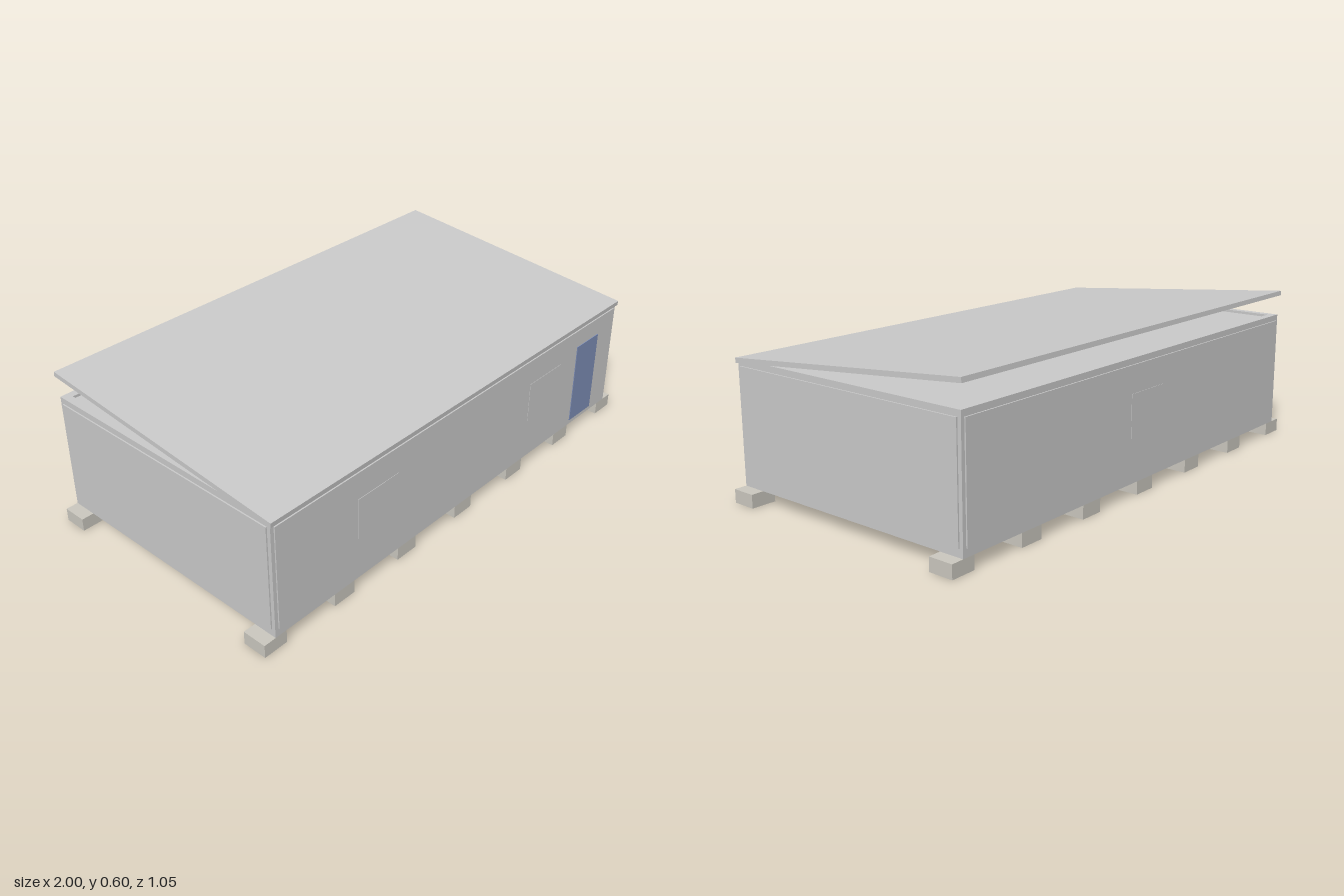
import * as THREE from 'three';

const grey = new THREE.MeshStandardMaterial({ color: 0xcccccc });
const concrete = new THREE.MeshStandardMaterial({ color: 0xccc9c0 });
const timber = new THREE.MeshStandardMaterial({ color: 0xcdc5ae });
const blue = new THREE.MeshStandardMaterial({ color: 0x7f8fb8 });

export function createModel() {
  const model = new THREE.Group();
  model.name = 'modularCabin';

  // Box given by its lower and upper corners
  function box(name, [x0, y0, z0], [x1, y1, z1], material = grey) {
    const mesh = new THREE.Mesh(new THREE.BoxGeometry(x1 - x0, y1 - y0, z1 - z0), material);
    mesh.position.set((x0 + x1) / 2, (y0 + y1) / 2, (z0 + z1) / 2);
    mesh.name = name;
    model.add(mesh);
    return mesh;
  }

  const X = 0.952, Z = 0.516, BASE = 0.05, TOP = 0.505, BEAM = 0.03;

  // Foundation blocks in two rows
  for (let i = 0; i < 7; i++) {
    const x = -0.952 + i * 0.3173;
    for (const z of [-0.469, 0.469]) {
      box('foundationBlock', [x - 0.048, 0, z - 0.047], [x + 0.048, BASE, z + 0.047], concrete);
    }
  }

  // Floor and recessed ceiling
  box('floor', [-X + BEAM, BASE + 0.002, -Z + BEAM], [X - BEAM, 0.08, Z - BEAM], timber);
  box('ceiling', [-X + BEAM, 0.475, -Z + BEAM], [X - BEAM, 0.495, Z - BEAM]);

  // Frame beams, corner posts and wall panels
  for (const s of [-1, 1]) {
    for (const [y0, y1] of [[BASE, 0.08], [TOP - BEAM, TOP]]) {
      const zs = [s * Z, s * (Z - BEAM)].sort((a, b) => a - b);
      const xs = [s * X, s * (X - BEAM)].sort((a, b) => a - b);
      box('longBeam', [-X, y0, zs[0]], [X, y1, zs[1]]);
      box('endBeam', [xs[0], y0, -Z + BEAM], [xs[1], y1, Z - BEAM]);
    }
    for (const t of [-1, 1]) {
      const x = s * (X - BEAM / 2), z = t * (Z - BEAM / 2);
      box('cornerPost', [x - BEAM / 2, 0.08, z - BEAM / 2], [x + BEAM / 2, TOP - BEAM, z + BEAM / 2]);
    }
    const px = s * 0.945, pz = s * 0.509;
    box('endWall', [px - 0.012, 0.08, -0.502], [px + 0.012, 0.482, 0.502]);
    box('longWall', [-0.938, 0.08, pz - 0.012], [0.938, 0.482, pz + 0.012]);
  }

  // Windows and door, barely proud of the walls
  for (const x of [-0.475, 0.475]) {
    box('frontWindow', [x - 0.1, 0.22, 0.5], [x + 0.1, 0.38, 0.5225]);
  }
  box('backWindow', [-0.1, 0.22, -0.5225], [0.1, 0.38, -0.5]);
  box('door', [0.685, 0.075, 0.5], [0.83, 0.41, 0.524], blue);

  // Sloping roof, low at the front
  const roof = new THREE.Mesh(new THREE.BoxGeometry(1.914, 0.018, 1.053), grey);
  roof.name = 'roof';
  roof.position.set(0, 0.547, 0);
  roof.rotation.x = Math.atan2(0.095, 1.05);
  model.add(roof);

  return model;
}
